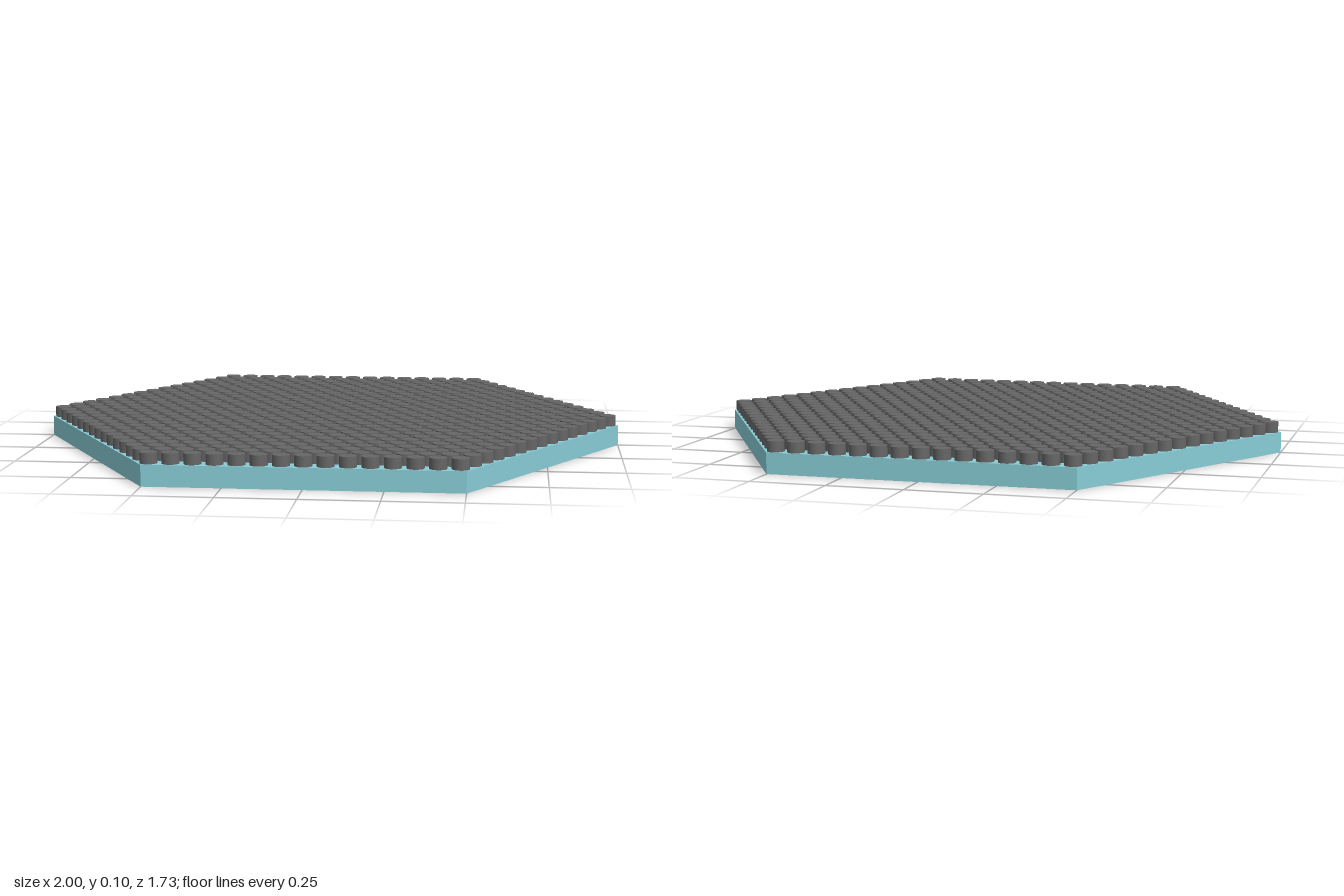
import * as THREE from 'three';
import { mergeGeometries } from 'three/addons/utils/BufferGeometryUtils.js';

const BASE_H = 0.069, PEG_H = 0.035, PEG_R = 0.028;
const RINGS = 14, PITCH = 0.0687; // pegs from centre to corner, and their spacing

export function createModel() {
  const group = new THREE.Group();

  // Hexagonal slab with corners on the x axis
  const slabGeo = new THREE.CylinderGeometry(1, 1, BASE_H, 6, 1, false, Math.PI / 2);
  slabGeo.translate(0, BASE_H / 2, 0);
  const slab = new THREE.Mesh(slabGeo,
    new THREE.MeshStandardMaterial({ color: 0x88ccd6, flatShading: true }));
  slab.name = 'hexagonBase';
  group.add(slab);

  // Round pegs packed in a triangular grid, one mesh per row
  const pegMaterial = new THREE.MeshStandardMaterial({ color: 0x666666 });
  const peg = new THREE.CylinderGeometry(PEG_R, PEG_R, PEG_H, 20);
  const pegs = new THREE.Group();
  pegs.name = 'pegs';
  for (let row = -RINGS; row <= RINGS; row++) {
    const count = 2 * RINGS + 1 - Math.abs(row);
    const z = row * PITCH * Math.sqrt(3) / 2;
    const rowPegs = [];
    for (let i = 0; i < count; i++) {
      const x = (i - (count - 1) / 2) * PITCH;
      rowPegs.push(peg.clone().translate(x, BASE_H + PEG_H / 2, z));
    }
    const mesh = new THREE.Mesh(mergeGeometries(rowPegs), pegMaterial);
    mesh.name = 'pegRow' + (row + RINGS + 1);
    pegs.add(mesh);
  }
  group.add(pegs);

  return group;
}
